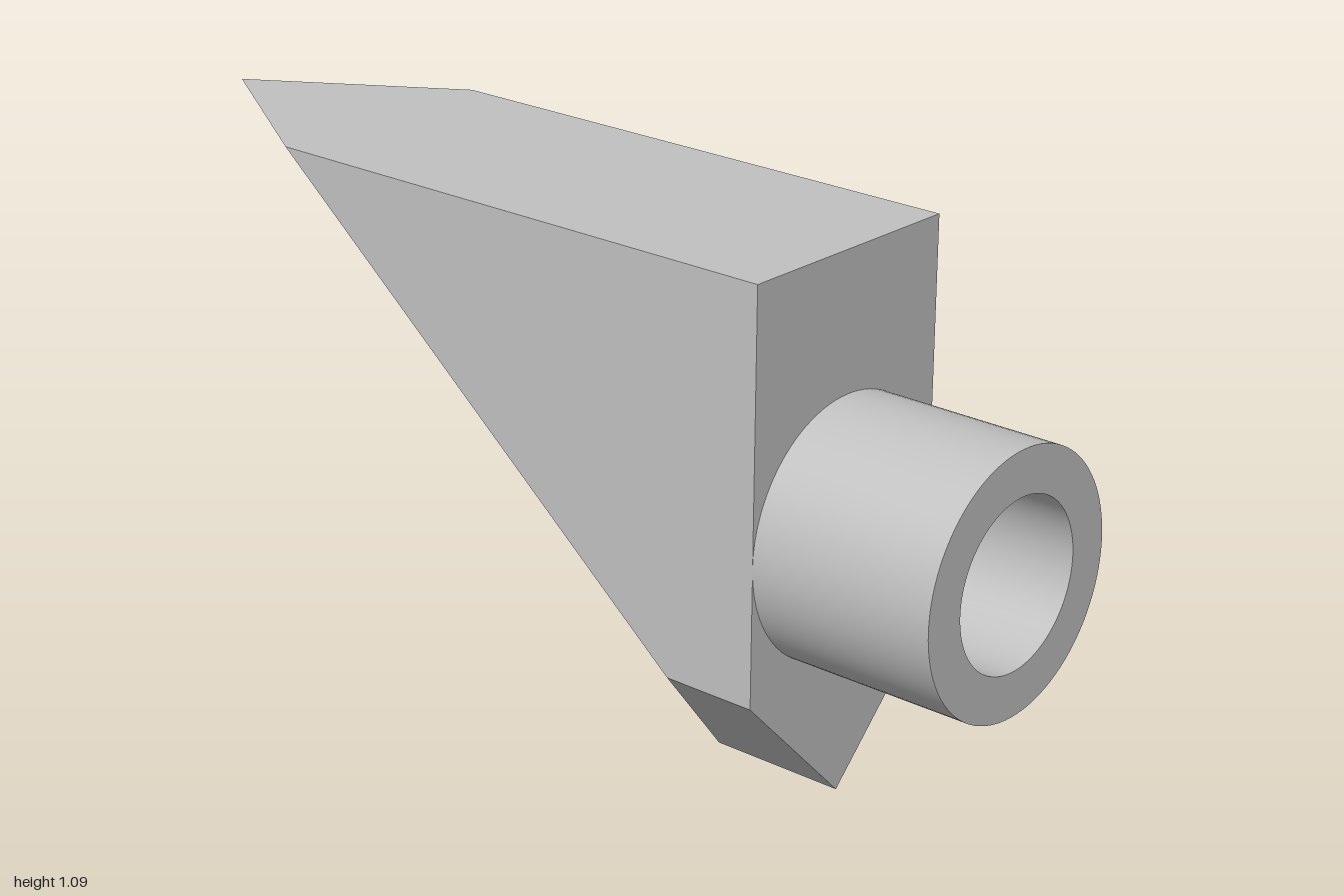
import * as THREE from 'three';
import { toCreasedNormals } from 'three/addons/utils/BufferGeometryUtils.js';
import { ConvexGeometry } from 'three/addons/geometries/ConvexGeometry.js';

const HALF = 0.262, TOP = 1.09, SHOULDER = 0.265, FRONT = 0.605;

export function createModel() {
  const grey = new THREE.MeshStandardMaterial({ color: 0xc0c0c0 });
  grey.name = 'plain grey';
  const model = new THREE.Group();
  model.name = 'wedgeFitting';

  // Wedge body: keeled prism cut behind by two sloping planes meeting in a ridge
  const backZ = (x, y) => -1 + (TOP - y) * 1.205 + Math.abs(x) * 1.565;
  const section = [[-HALF, TOP], [HALF, TOP], [HALF, SHOULDER], [0, 0], [-HALF, SHOULDER]];
  const corners = [new THREE.Vector3(0, TOP, backZ(0, TOP))];
  for (const [x, y] of section) {
    corners.push(new THREE.Vector3(x, y, FRONT), new THREE.Vector3(x, y, backZ(x, y)));
  }
  const body = new THREE.Mesh(new ConvexGeometry(corners), grey);
  body.name = 'wedgeBody';
  model.add(body);

  // Round socket with a blind bore, turned to point forward
  const length = 1 - FRONT, bore = 0.17, floor = length - 0.31;
  const profile = [[HALF, 0], [HALF, length], [bore, length], [bore, floor], [0, floor]]
    .map(([r, h]) => new THREE.Vector2(r, h));
  const socketShape = new THREE.LatheGeometry(profile, 96).rotateX(Math.PI / 2);
  const socket = new THREE.Mesh(toCreasedNormals(socketShape, 0.6), grey);
  socket.name = 'socket';
  socket.position.set(0, TOP / 2 + 0.002, FRONT);
  model.add(socket);

  return model;
}
